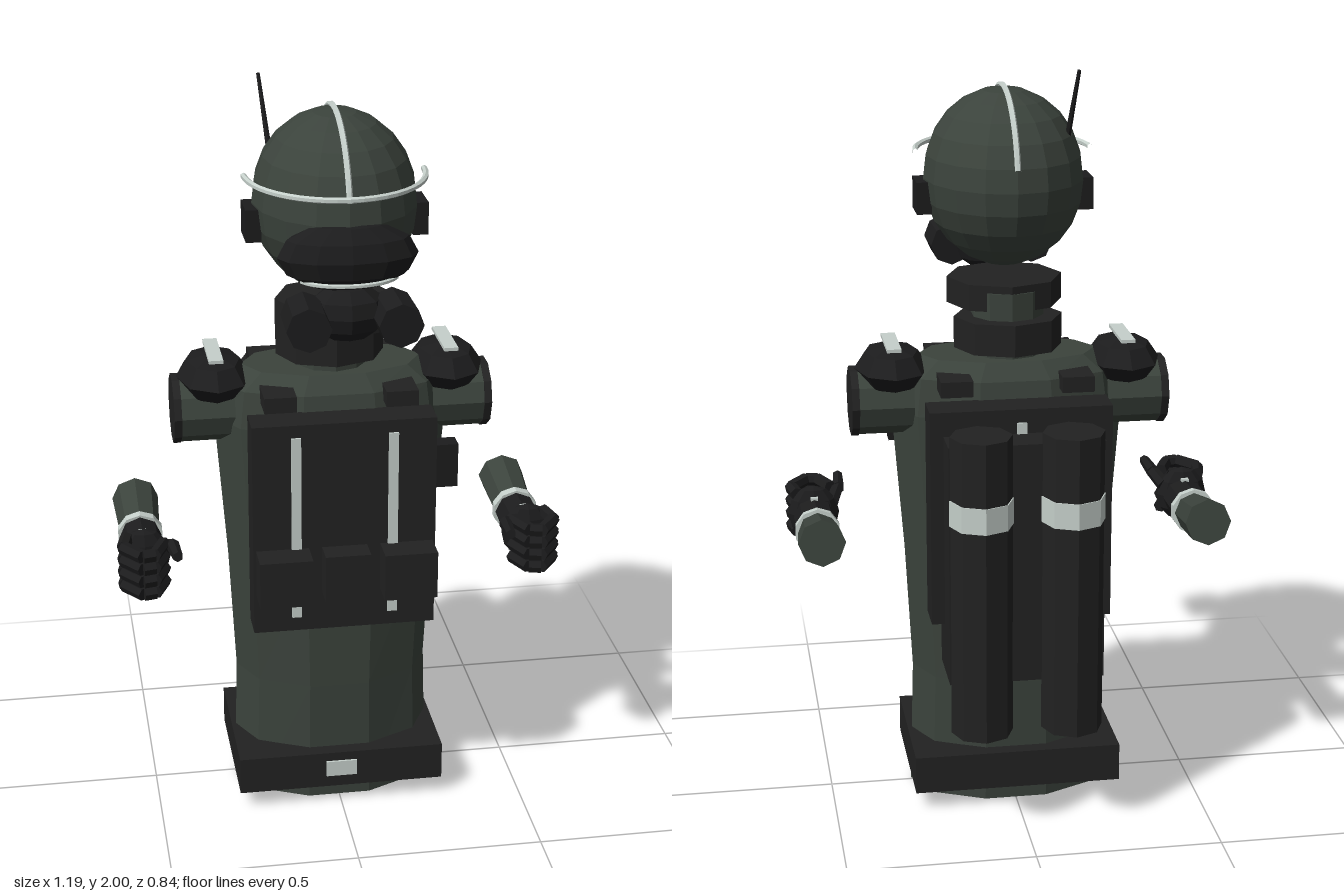
import * as THREE from 'three';

const paint = (name, color) => {
  const m = new THREE.MeshStandardMaterial({ color, flatShading: true });
  m.name = name;
  return m;
};
const V = (x, y, z) => new THREE.Vector3(x, y, z);

export function createModel() {
  const model = new THREE.Group();
  model.name = 'suitedFigure';
  const green = paint('suitGreen', 0x3b433c);
  const dark = paint('gearCharcoal', 0x222222);
  const black = paint('rubberBlack', 0x1c1c1d);
  const pale = paint('paleTrim', 0xc6d0cb);

  const add = (name, geo, mat, x = 0, y = 0, z = 0) => {
    const mesh = new THREE.Mesh(geo, mat);
    mesh.name = name;
    mesh.position.set(x, y, z);
    model.add(mesh);
    return mesh;
  };
  const box = (name, mat, w, h, d, x, y, z) => add(name, new THREE.BoxGeometry(w, h, d), mat, x, y, z);
  const blob = (name, mat, rx, ry, rz, x, y, z, ws = 10, hs = 6) =>
    add(name, new THREE.SphereGeometry(1, ws, hs).scale(rx, ry, rz), mat, x, y, z);
  // Tapered cylinder between two points
  const rod = (name, mat, a, b, ra, rb = ra, sides = 8) => {
    const dir = b.clone().sub(a);
    const mesh = add(name, new THREE.CylinderGeometry(rb, ra, dir.length(), sides), mat);
    mesh.position.copy(a).add(b).multiplyScalar(0.5);
    mesh.quaternion.setFromUnitVectors(V(0, 1, 0), dir.normalize());
    return mesh;
  };
  const tube = (name, mat, pts, r, segs = 20, sides = 6) =>
    add(name, new THREE.TubeGeometry(new THREE.CatmullRomCurve3(pts), segs, r, sides), mat);
  // Sample an elliptical arc from angle a to b
  const arc = (a, b, f, n = 16) => Array.from({ length: n + 1 }, (_, i) => f(a + (b - a) * i / n));

  // Ten-sided torso lofted through rings of [height, half width, half depth]
  const rings = [[1.245, 0.24, 0.125], [1.2, 0.3, 0.16], [1.1, 0.314, 0.177], [0.7, 0.283, 0.178],
    [0.35, 0.265, 0.177], [0, 0.275, 0.172]];
  const torso = new THREE.CylinderGeometry(1, 1, 1, 10, rings.length - 1, false, Math.PI / 2);
  const p = torso.attributes.position;
  for (let i = 0; i < p.count; i++) {
    const [y, rx, rz] = rings[Math.round((0.5 - p.getY(i)) * (rings.length - 1))];
    p.setXYZ(i, p.getX(i) * rx, y, p.getZ(i) * rz + 0.01);
  }
  add('torso', torso, green);

  // Belt
  box('belt', dark, 0.565, 0.105, 0.41, 0, 0.105, 0.01);
  box('beltBuckle', pale, 0.085, 0.045, 0.008, 0, 0.11, 0.217);

  // Neck and collars
  rod('neck', green, V(0, 1.2, 0.01), V(0, 1.42, 0.01), 0.098, 0.098, 10);
  add('lowerCollar', new THREE.CylinderGeometry(1, 1, 0.085, 8).scale(0.145, 1, 0.128), dark, 0, 1.305, -0.005);
  add('upperCollar', new THREE.CylinderGeometry(1, 1, 0.07, 8).scale(0.155, 1, 0.148), dark, 0, 1.405, 0.062);

  // Head with crest, brow band and antenna
  blob('head', green, 0.213, 0.235, 0.252, 0, 1.705, 0.072, 16, 12);
  tube('headCrest', pale, arc(0.25, Math.PI - 0.25, t =>
    V(0, 1.705 + 0.238 * Math.sin(t), 0.072 + 0.256 * Math.cos(t))), 0.008, 24);
  tube('browBand', pale, arc(0, Math.PI, t =>
    V(0.232 * Math.cos(t), 1.775, 0.072 + 0.255 * Math.sin(t))), 0.008, 24);
  rod('antenna', black, V(-0.155, 1.82, -0.02), V(-0.173, 2, -0.08), 0.008, 0.005, 6);

  // Face: visor and breathing mask
  blob('visor', black, 0.178, 0.09, 0.082, 0, 1.625, 0.292, 12, 6);
  tube('visorTrim', pale, arc(0.3, Math.PI - 0.3, t =>
    V(0.125 * Math.cos(t), 1.567, 0.285 + 0.08 * Math.sin(t)), 10), 0.006, 14);
  blob('breathingMask', black, 0.105, 0.075, 0.08, 0, 1.475, 0.287, 8, 6);

  // Chest panel with pouches
  box('chestPanel', dark, 0.485, 0.59, 0.09, 0, 0.865, 0.21);
  box('middlePouch', dark, 0.12, 0.13, 0.07, 0, 0.745, 0.285);
  box('sidePocket', black, 0.07, 0.12, 0.05, 0.27, 1.01, 0.205);

  // Back panel and pack
  box('backPanel', dark, 0.48, 0.585, 0.1, 0, 0.863, -0.195);
  box('pack', dark, 0.41, 0.655, 0.175, 0, 0.763, -0.2525);
  box('backStripe', pale, 0.026, 0.5, 0.008, 0, 0.87, -0.247);

  for (const s of [-1, 1]) {
    // Head sides and mask filters
    box('earPad', black, 0.04, 0.085, 0.1, s * 0.215, 1.658, 0.08);
    rod('maskFilter', black, V(s * 0.112, 1.475, 0.28), V(s * 0.115, 1.475, 0.415), 0.057);

    // Chest, strap and tank details
    box('shoulderStrap', dark, 0.085, 0.042, 0.39, s * 0.16, 1.197, 0.01);
    box('chestStripe', pale, 0.026, 0.515, 0.008, s * 0.128, 0.868, 0.257);
    box('sidePouch', dark, 0.14, 0.13, 0.09, s * 0.165, 0.745, 0.29);
    add('tank', new THREE.CylinderGeometry(0.082, 0.082, 0.822, 8), dark, s * 0.12, 0.709, -0.338);
    add('tankBand', new THREE.CylinderGeometry(0.085, 0.085, 0.07, 8), pale, s * 0.12, 0.915, -0.338);

    // Shoulder and arm socket
    blob('shoulderPad', black, 0.1, 0.062, 0.14, s * 0.312, 1.215, 0, 8, 4);
    box('shoulderStripe', pale, 0.038, 0.009, 0.17, s * 0.312, 1.28, 0);
    rod('armSocket', green, V(s * 0.26, 1.125, 0), V(s * 0.41, 1.125, 0), 0.09, 0.09, 10);
    rod('socketCap', dark, V(s * 0.405, 1.125, 0), V(s * 0.425, 1.125, 0), 0.093, 0.093, 10);

    // Forearm
    const x = s * 0.52;
    rod('sleeve', green, V(x, 0.792, -0.18), V(x, 0.76, 0), 0.063, 0.053);
    rod('wristRing', pale, V(x, 0.764, -0.016), V(x, 0.762, 0.008), 0.062, 0.062, 10);
    rod('gloveCuff', black, V(x, 0.762, 0), V(x, 0.76, 0.12), 0.056, 0.056);
    box('cuffTag', pale, 0.02, 0.008, 0.014, x, 0.817, 0.1);
    blob('palm', black, 0.07, 0.078, 0.037, x, 0.765, 0.14, 8, 6);

    // Curled fingers and thumb
    for (let i = 0; i < 4; i++) {
      const y = 0.712 + i * 0.036;
      const joints = [V(x + s * 0.045, y, 0.14), V(x + s * 0.058, y, 0.2),
        V(x + s * 0.012, y, 0.262), V(x - s * 0.02, y, 0.255), V(x - s * 0.05, y, 0.185)];
      for (let j = 0; j < 4; j++) rod('finger', black, joints[j], joints[j + 1], 0.018, 0.018, 6);
    }
    rod('thumbBase', black, V(x - s * 0.05, 0.79, 0.14), V(x - s * 0.072, 0.815, 0.2), 0.02, 0.018, 6);
    rod('thumbTip', black, V(x - s * 0.072, 0.815, 0.19), V(x - s * 0.078, 0.822, 0.28), 0.018, 0.014, 6);
  }
  return model;
}
